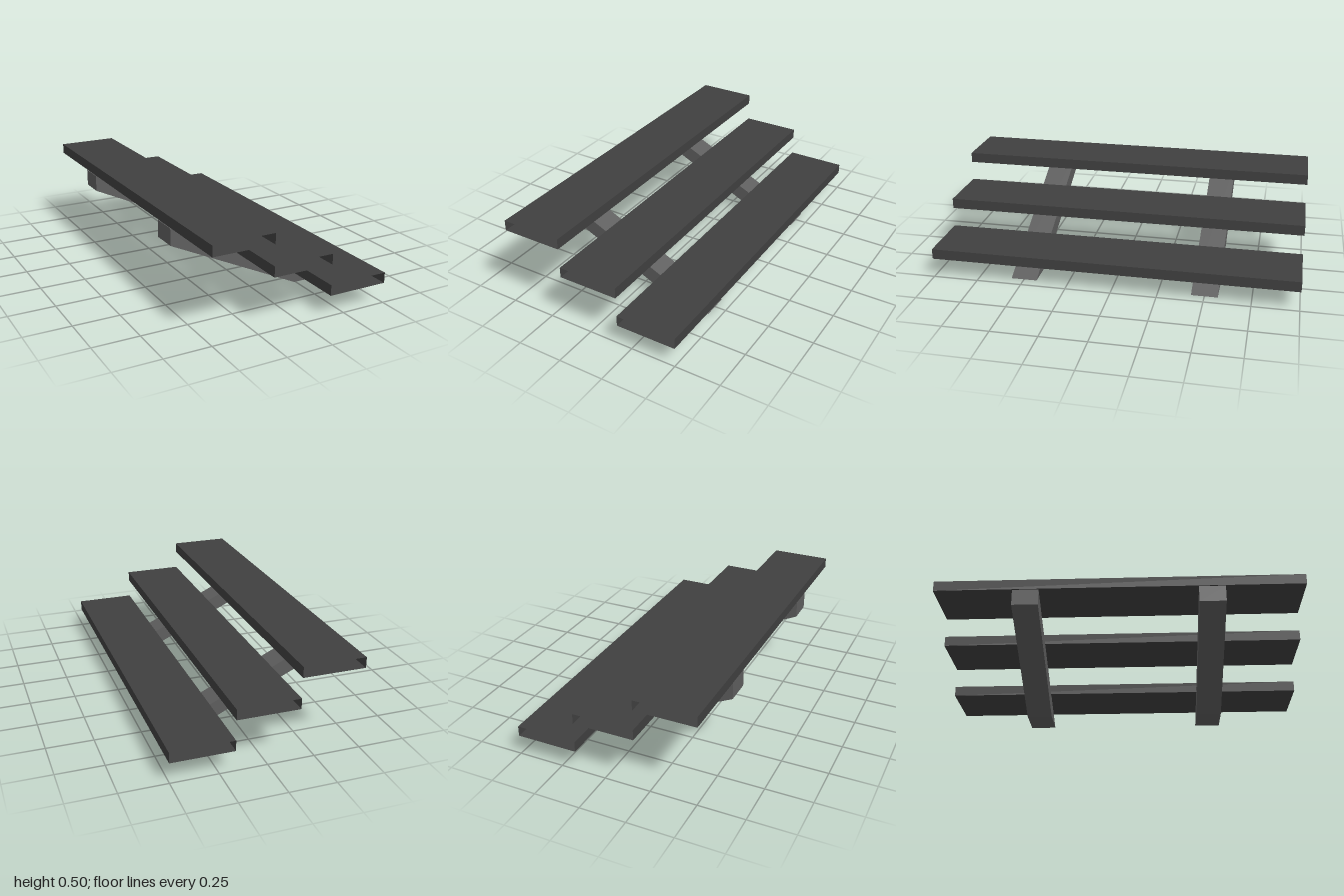
import * as THREE from 'three';

const darkSteel = new THREE.MeshStandardMaterial({ color: 0x404040, side: THREE.DoubleSide });
darkSteel.name = 'dark grey tread';
const greySteel = new THREE.MeshStandardMaterial({ color: 0x5e5e5e, side: THREE.DoubleSide });
greySteel.name = 'mid grey stringer';

// Flat tread: four thin walls, open at both z ends
function treadGroup(width, height, length) {
  const tread = new THREE.Group();
  const wall = (name, size, x, y, rx, ry) => {
    const mesh = new THREE.Mesh(new THREE.PlaneGeometry(...size), darkSteel);
    mesh.name = name;
    mesh.position.set(x, y, 0);
    mesh.rotation.set(rx, ry, 0);
    tread.add(mesh);
  };
  const q = Math.PI / 2;
  wall('treadTop', [width, length], 0, height / 2, -q, 0);
  wall('treadBottom', [width, length], 0, -height / 2, q, 0);
  wall('treadFrontEdge', [length, height], width / 2, 0, 0, q);
  wall('treadRearEdge', [length, height], -width / 2, 0, 0, -q);
  return tread;
}

export function createModel() {
  const model = new THREE.Group();
  model.name = 'steps';

  // Three treads rising towards -x
  const width = 1 / 3, height = 0.057;
  for (let i = 0; i < 3; i++) {
    const tread = treadGroup(width, height, 2);
    tread.name = `tread${i + 1}`;
    tread.position.set(width * (1 - i), 0.167 * (i + 1) - height / 2, 0);
    model.add(tread);
  }

  // Two sloping stringers, cut flat at the floor and upright at the top
  const profile = new THREE.Shape([
    [0.242, 0], [0.437, 0], [-0.5, 0.44], [-0.5, 0.349],
  ].map(([x, y]) => new THREE.Vector2(x, y)));
  const thickness = 0.143;
  const geometry = new THREE.ExtrudeGeometry(profile, { depth: thickness, bevelEnabled: false });
  geometry.translate(0, 0, -thickness / 2);
  for (const side of [1, -1]) {
    const stringer = new THREE.Mesh(geometry, greySteel);
    stringer.name = side > 0 ? 'frontStringer' : 'backStringer';
    stringer.position.z = side * 0.5;
    model.add(stringer);
  }
  return model;
}
